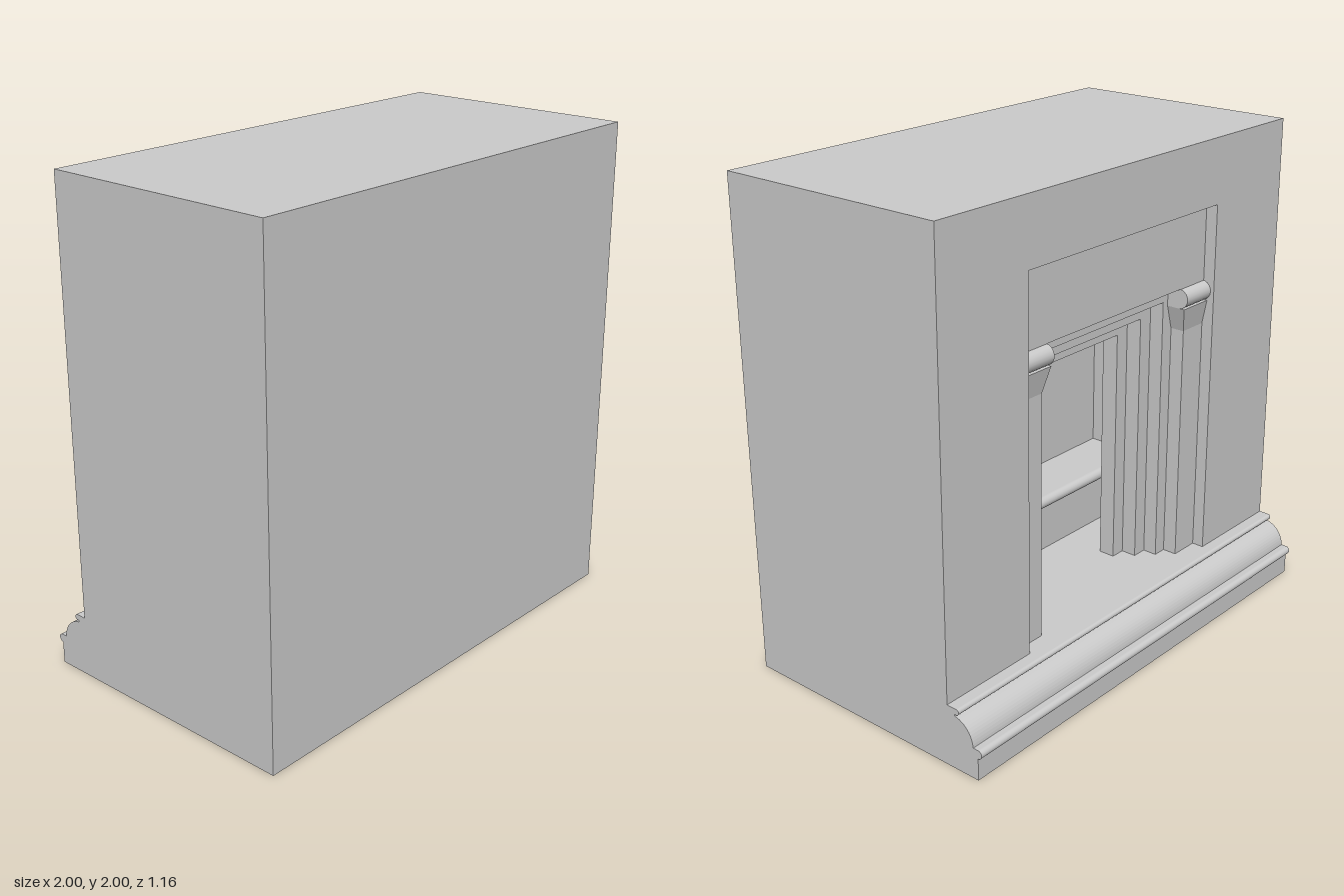
import * as THREE from 'three';

const FACE = -0.42;   // z of the wall face that holds the portal
const FLOOR = 0.25;   // top of the plinth and floor of the chamber
const mat = new THREE.MeshStandardMaterial({ color: 0xcccccc, side: THREE.DoubleSide });

function add(parent, name, geometry) {
  const mesh = new THREE.Mesh(geometry, mat);
  mesh.name = name;
  parent.add(mesh);
  return mesh;
}

// Slab of wall between two depths behind the face, with a doorway open at the floor
function wallSlab(parent, name, d0, d1, half, top) {
  const s = new THREE.Shape();
  s.moveTo(-1, FLOOR);
  s.lineTo(-half, FLOOR);
  s.lineTo(-half, top);
  s.lineTo(half, top);
  s.lineTo(half, FLOOR);
  s.lineTo(1, FLOOR);
  s.lineTo(1, 2);
  s.lineTo(-1, 2);
  s.closePath();
  const g = new THREE.ExtrudeGeometry(s, { depth: d1 - d0, bevelEnabled: false });
  add(parent, name, g.translate(0, 0, FACE + d0));
}

// Profile drawn as (-z, y), swept along x
function sweepX(shape, half) {
  const g = new THREE.ExtrudeGeometry(shape, { depth: 2 * half, bevelEnabled: false, curveSegments: 12 });
  return g.translate(0, 0, -half).rotateY(Math.PI / 2);
}

// Half-round bead ending a moulding, from its lower to its upper edge
function bead(shape, tip, y0, y1) {
  const r = (y1 - y0) / 2;
  shape.lineTo(tip - r, y0);
  shape.absarc(tip - r, y0 + r, r, -Math.PI / 2, Math.PI / 2, false);
}

// Block whose lower end is narrower than its upper end on the free sides
function taperedBlock(w, h, d, scaleX, scaleZ) {
  const g = new THREE.BoxGeometry(w, h, d).toNonIndexed();
  const p = g.attributes.position;
  for (let i = 0; i < p.count; i++) {
    if (p.getY(i) > 0) continue;
    if (p.getX(i) < 0) p.setX(i, w / 2 - w * scaleX);
    if (p.getZ(i) < 0) p.setZ(i, d / 2 - d * scaleZ);
  }
  g.computeVertexNormals();
  return g;
}

export function createModel() {
  const model = new THREE.Group();
  model.name = 'wallWithPortal';

  // Moulded plinth
  const base = new THREE.Shape();
  base.moveTo(-0.58, 0);
  base.lineTo(0.565, 0);
  base.lineTo(0.565, 0.09);
  bead(base, 0.582, 0.09, 0.125);
  base.lineTo(0.542, 0.125);
  base.bezierCurveTo(0.538, 0.175, 0.505, 0.212, 0.455, 0.22);
  base.lineTo(0.455, 0.226);
  bead(base, 0.475, 0.226, FLOOR);
  base.lineTo(-0.58, FLOOR);
  base.closePath();
  add(model, 'plinth', sweepX(base, 1));

  // Stepped doorway: each slab is [start depth, end depth, half width, top]
  [
    [0, 0.05, 0.557, 1.735],
    [0.05, 0.11, 0.43, 1.42],
    [0.11, 0.17, 0.372, 1.36],
    [0.17, 0.235, 0.308, 1.295],
    [0.235, 0.305, 0.245, 1.23],
  ].forEach((s, i) => wallSlab(model, 'doorStep' + (i + 1), ...s));

  // Inner chamber and the solid wall behind it
  wallSlab(model, 'chamberWalls', 0.305, 0.71, 0.7, 1.4);
  add(model, 'rearWall', new THREE.BoxGeometry(2, 2 - FLOOR, 0.29)).position.set(0, (2 + FLOOR) / 2, 0.435);

  // Bench with a beaded edge along the back of the chamber
  const bench = new THREE.Shape();
  bench.moveTo(-0.29, FLOOR);
  bench.lineTo(-0.08, FLOOR);
  bench.lineTo(-0.08, 0.45);
  bead(bench, -0.05, 0.45, 0.5);
  bench.lineTo(-0.29, 0.5);
  bench.closePath();
  add(model, 'chamberBench', sweepX(bench, 0.7));

  // Pilaster capitals beside the doorway, mirrored left and right
  for (const side of [1, -1]) {
    const capital = new THREE.Group();
    capital.name = side > 0 ? 'leftCapital' : 'rightCapital';
    const roll = add(capital, 'capitalRoll', new THREE.CylinderGeometry(0.04, 0.04, 0.155, 20).rotateZ(Math.PI / 2));
    roll.position.set(0.479, 1.38, FACE + 0.055);
    add(capital, 'capitalBlock', new THREE.BoxGeometry(0.155, 0.08, 0.06)).position.set(0.479, 1.38, FACE + 0.08);
    const neck = taperedBlock(0.155, 0.1, 0.08, 0.82, 0.75);
    add(capital, 'capitalNeck', neck).position.set(0.479, 1.29, FACE + 0.07);
    if (side < 0) capital.scale.x = -1;
    model.add(capital);
  }

  return model;
}
